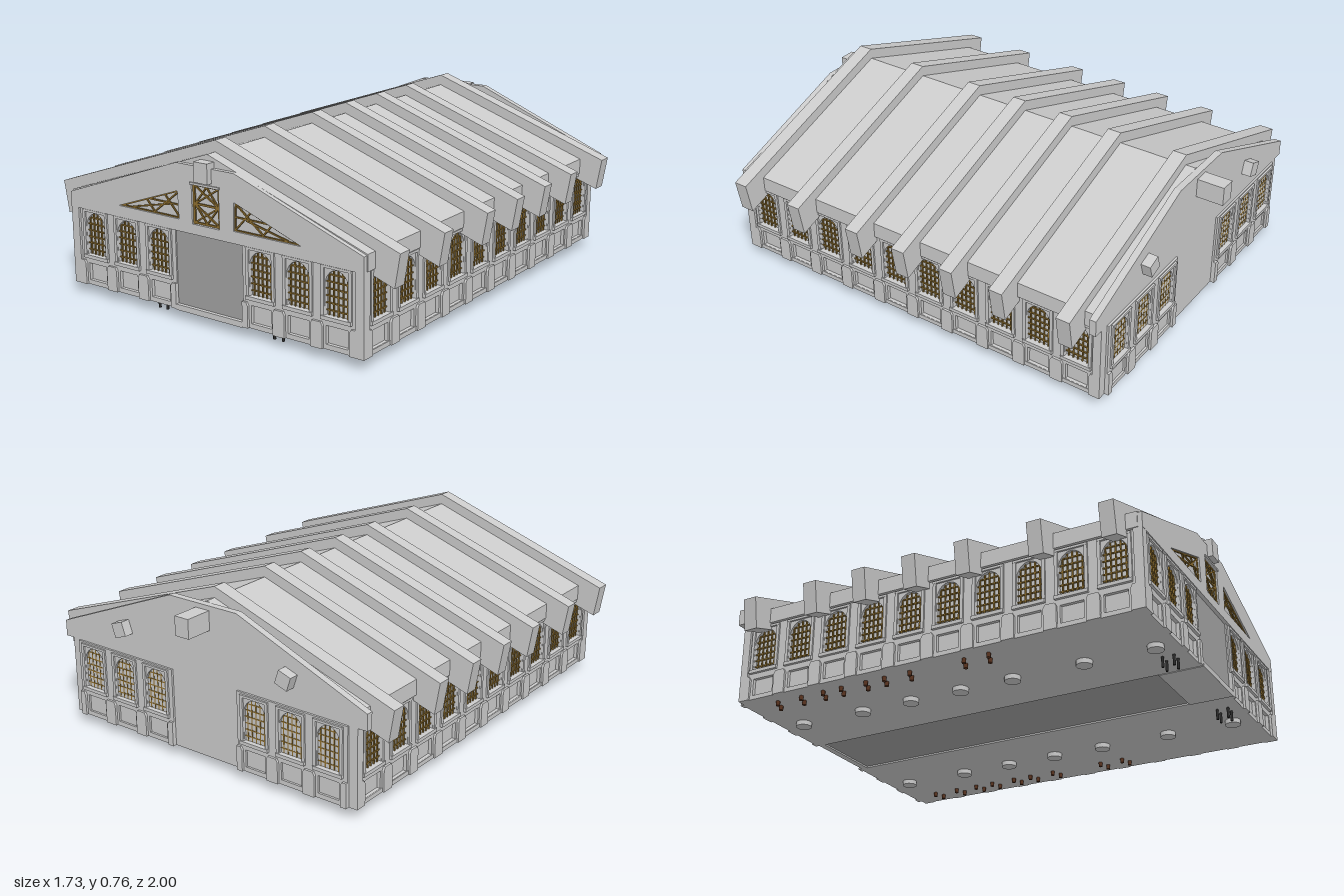
import * as THREE from 'three';

const mat = (color) => new THREE.MeshStandardMaterial({ color });
const grey = mat(0xcccccc), door = mat(0xa2a2a2), gold = mat(0x8f7030), brown = mat(0x5a3420), black = mat(0x2a2a2a);

function add(parent, name, geo, x = 0, y = 0, z = 0, material = grey) {
  const mesh = new THREE.Mesh(geo, material);
  mesh.name = name;
  mesh.position.set(x, y, z);
  parent.add(mesh);
  return mesh;
}
// Box given by its extents
const block = (parent, name, x0, x1, y0, y1, z0, z1, material) => add(parent, name,
  new THREE.BoxGeometry(x1 - x0, y1 - y0, z1 - z0), (x0 + x1) / 2, (y0 + y1) / 2, (z0 + z1) / 2, material);
const poly = (pts) => new THREE.Shape(pts.map(([x, y]) => new THREE.Vector2(x, y)));
const extrude = (shape, depth) => new THREE.ExtrudeGeometry(shape, { depth, bevelEnabled: false, curveSegments: 10 });
// Symmetric outline from the points of its +x half, bottom to top
const mirrored = (half) => poly([...half, ...half.filter(p => p[0] !== 0).reverse().map(([x, y]) => [-x, y])]);

// Straight lattice bar between two points of a vertical plane
function bar(parent, x0, y0, x1, y1, z, w = 0.006) {
  const m = add(parent, 'latticeBar', new THREE.BoxGeometry(Math.hypot(x1 - x0, y1 - y0), w, 0.006),
    (x0 + x1) / 2, (y0 + y1) / 2, z, gold);
  m.rotation.z = Math.atan2(y1 - y0, x1 - x0);
}

const HALF = 0.055, SPRING = 0.295, RISE = 0.068, SILL = 0.18;
const archY = (x) => SPRING + RISE * Math.sqrt(Math.max(0, 1 - (x / HALF) ** 2));

// One wall bay with arched window, sill, recessed panel and half pilasters, facing +z
function makeBay() {
  const g = new THREE.Group();
  g.name = 'windowBay';
  const wall = poly([[-0.09, 0.045], [0.09, 0.045], [0.09, 0.385], [-0.09, 0.385]]);
  const hole = new THREE.Path();
  hole.moveTo(-HALF, SILL);
  hole.lineTo(-HALF, SPRING);
  hole.absellipse(0, SPRING, HALF, RISE, Math.PI, 0, true);
  hole.lineTo(HALF, SILL);
  hole.closePath();
  wall.holes.push(hole, poly([[-0.05, 0.065], [-0.05, 0.14], [0.05, 0.14], [0.05, 0.065]]));
  add(g, 'bayWall', extrude(wall, 0.02), 0, 0, -0.02);
  block(g, 'windowSill', -0.07, 0.07, 0.165, SILL, 0, 0.012);
  block(g, 'windowHead', -0.07, 0.07, 0.368, 0.378, 0, 0.008);
  for (const s of [-1, 1]) {
    block(g, 'windowJamb', s * 0.063 - 0.007, s * 0.063 + 0.007, SILL, 0.368, 0, 0.007);
    const pts = [[s * 0.062, 0.045], [s * 0.09, 0.045], [s * 0.09, 0.152], [s * 0.07, 0.152], [s * 0.062, 0.138]];
    add(g, 'pilasterHalf', extrude(poly(pts), 0.01));
  }
  // Glazing bars
  for (let i = -2; i <= 2; i++) bar(g, i * 0.021, SILL, i * 0.021, archY(i * 0.021), -0.011, 0.005);
  for (let i = 0; i < 6; i++) {
    const y = 0.2 + i * 0.028;
    const w = y < SPRING ? HALF : HALF * Math.sqrt(1 - ((y - SPRING) / RISE) ** 2);
    bar(g, -w, y, w, y, -0.011, 0.005);
  }
  return g;
}

export function createModel() {
  const model = new THREE.Group();
  model.name = 'hall';

  // Core carrying the window panes, and the floor slabs
  block(model, 'innerWalls', -0.727, 0.727, 0.06, 0.39, -0.86, 0.948);
  for (const s of [-1, 1]) block(model, 'floorSide', s * 0.458 - 0.287, s * 0.458 + 0.287, 0.045, 0.064, -0.86, 0.96);
  block(model, 'floorAisle', -0.172, 0.172, 0.052, 0.065, -0.86, 0.8, door);
  block(model, 'entranceFloor', -0.172, 0.172, 0.042, 0.066, 0.78, 0.973);
  block(model, 'entrancePanel', -0.174, 0.174, 0.045, 0.385, 0.94, 0.957, door);

  // Window bays along both sides, the front and the back
  const bay = makeBay();
  const place = (x, z, turn) => {
    const b = bay.clone();
    b.position.set(x, 0, z);
    b.rotation.y = turn;
    model.add(b);
  };
  for (const s of [-1, 1]) {
    for (let i = 0; i < 10; i++) place(s * 0.742, 0.853 - i * 0.18, s * Math.PI / 2);
    for (const x of [0.263, 0.443, 0.623]) {
      place(s * x, 0.963, 0);
      place(s * x, -0.889, Math.PI);
    }
    // Corner posts
    block(model, 'frontCornerPost', s * 0.7315 - 0.0205, s * 0.7315 + 0.0205, 0.045, 0.385, 0.934, 0.973);
    block(model, 'backCornerPost', s * 0.7315 - 0.0205, s * 0.7315 + 0.0205, 0.045, 0.385, -0.876, -0.844);
  }

  // Pitched roof with upright eaves
  add(model, 'roof', extrude(mirrored([[0.755, 0.383], [0.755, 0.45], [0, 0.71]]), 1.805), 0, 0, -0.85);

  // Roof arches standing proud of the roof
  const arch = extrude(poly([[0, 0.757], [-0.863, 0.46], [-0.84, 0.322], [0, 0.611], [0.84, 0.322], [0.863, 0.46]]), 0.062);
  for (const z of [-0.775, -0.467, -0.226, 0.013, 0.255, 0.574, 0.876]) {
    add(model, 'roofArch', arch, 0, 0, z - 0.031);
    // Column feet below the floor
    for (const s of [-1, 1]) add(model, 'columnFoot', new THREE.CylinderGeometry(0.034, 0.034, 0.03, 16), s * 0.432, 0.04, z);
  }

  // Back wall and gable in one plate
  add(model, 'backGable', extrude(mirrored([[0.752, 0.045], [0.752, 0.385], [0.795, 0.385], [0.795, 0.455], [0.175, 0.705]]), 0.03), 0, 0, -0.88);

  // Front gable with three latticed openings
  const gable = mirrored([[0.752, 0.38], [0.752, 0.445], [0.148, 0.66]]);
  const triangle = (s) => [[s * 0.47, 0.43], [s * 0.145, 0.545], [s * 0.14, 0.43]];
  gable.holes.push(poly([[-0.07, 0.422], [-0.07, 0.588], [0.07, 0.588], [0.07, 0.422]]), poly(triangle(1)), poly(triangle(-1)));
  add(model, 'frontGable', extrude(gable, 0.022), 0, 0, 0.952);
  const Z = 0.964;
  for (const s of [-1, 1]) {
    const t = triangle(s);
    t.forEach((p, i) => bar(model, ...p, ...t[(i + 1) % 3], Z, 0.01));
    bar(model, s * 0.145, 0.485, s * 0.3, 0.485, Z);
    bar(model, s * 0.145, 0.435, s * 0.22, 0.515, Z);
    bar(model, s * 0.145, 0.54, s * 0.28, 0.435, Z);
    bar(model, s * 0.28, 0.435, s * 0.32, 0.48, Z);
    bar(model, s * 0.2, 0.48, s * 0.4, 0.435, Z);
    bar(model, s * 0.064, 0.422, s * 0.064, 0.588, Z, 0.01);
    bar(model, s * 0.06, 0.43, -s * 0.06, 0.505, Z);
    bar(model, s * 0.06, 0.505, 0, 0.58, Z);
    bar(model, s * 0.06, 0.505, 0, 0.43, Z);
    bar(model, s * 0.06, 0.58, -s * 0.06, 0.505, Z);
  }
  for (const y of [0.428, 0.505, 0.582]) bar(model, -0.065, y, 0.065, y, Z, 0.008);
  block(model, 'openingCap', -0.076, 0.076, 0.584, 0.593, 0.96, 0.98);

  // Ridge beam and purlin ends
  block(model, 'ridgeBeam', -0.035, 0.035, 0.602, 0.685, -1, 0.998);
  for (const s of [-1, 1]) {
    const purlin = add(model, 'purlinEnd', new THREE.BoxGeometry(0.062, 0.062, 0.08), s * 0.432, 0.507, -0.882);
    purlin.rotation.z = -s * 0.33;
  }

  // Furniture legs reaching below the floor
  const leg = (x, z, bottom, r, material) => add(model, 'furnitureLeg',
    new THREE.CylinderGeometry(r, r, 0.06 - bottom, 8), x, (0.06 + bottom) / 2, z, material);
  for (const s of [-1, 1]) {
    for (const x of [0.282, 0.325]) for (const z of [0.86, 0.908]) leg(s * x, z, 0, 0.006, black);
    for (const z of [0.27, 0.16, -0.09, -0.21, -0.3, -0.42, -0.51, -0.62, -0.74])
      for (const x of [0.632, 0.678]) leg(s * x, z + (x - 0.65) * 0.4, 0.025, 0.009, brown);
  }
  return model;
}
